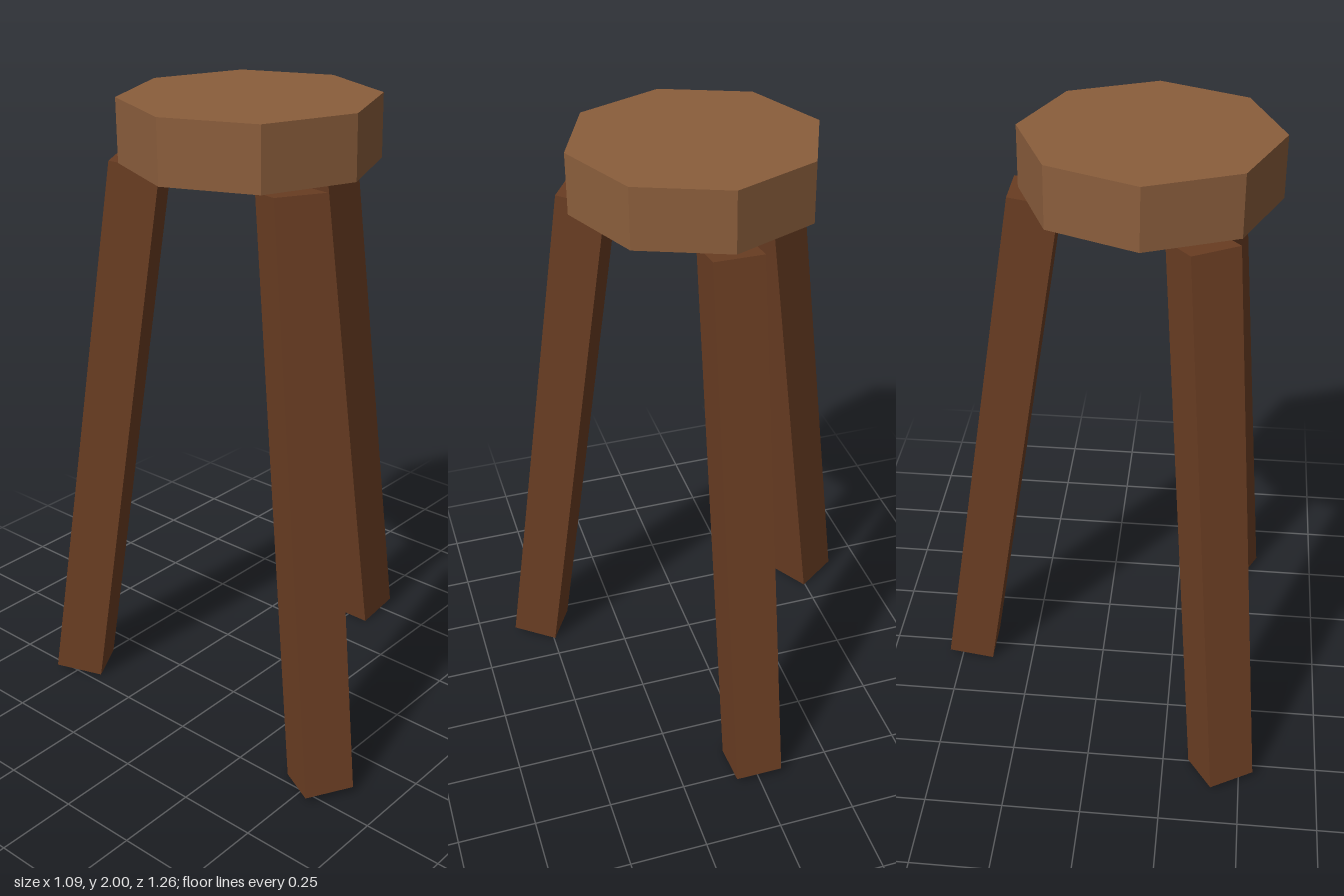
import * as THREE from 'three';

export function createModel() {
  const model = new THREE.Group();
  model.name = 'stool';

  const seatWood = new THREE.MeshStandardMaterial({ color: 0x8b5e3c });
  seatWood.name = 'light brown wood';
  seatWood.flatShading = true;
  const legWood = new THREE.MeshStandardMaterial({ color: 0x6b3e23 });
  legWood.name = 'dark brown wood';

  const centreX = -0.137;
  const seatBottom = 1.808;

  // Octagonal seat
  const seatHeight = 2 - seatBottom;
  const seat = new THREE.Mesh(new THREE.CylinderGeometry(0.388, 0.388, seatHeight, 8), seatWood);
  seat.name = 'seat';
  seat.position.set(centreX, seatBottom + seatHeight / 2, 0);
  model.add(seat);

  // Three square legs splayed outwards around the seat's centre
  const legGeometry = new THREE.BoxGeometry(0.155, 1.805, 0.155);
  for (let i = 0; i < 3; i++) {
    const pivot = new THREE.Group();
    pivot.name = `legPivot${i + 1}`;
    pivot.position.x = centreX;
    pivot.rotation.y = (i * Math.PI * 2) / 3;
    const leg = new THREE.Mesh(legGeometry, legWood);
    leg.name = `leg${i + 1}`;
    leg.position.set(0.469, seatBottom / 2, 0);
    leg.rotation.z = 0.15;
    pivot.add(leg);
    model.add(pivot);
  }
  return model;
}
